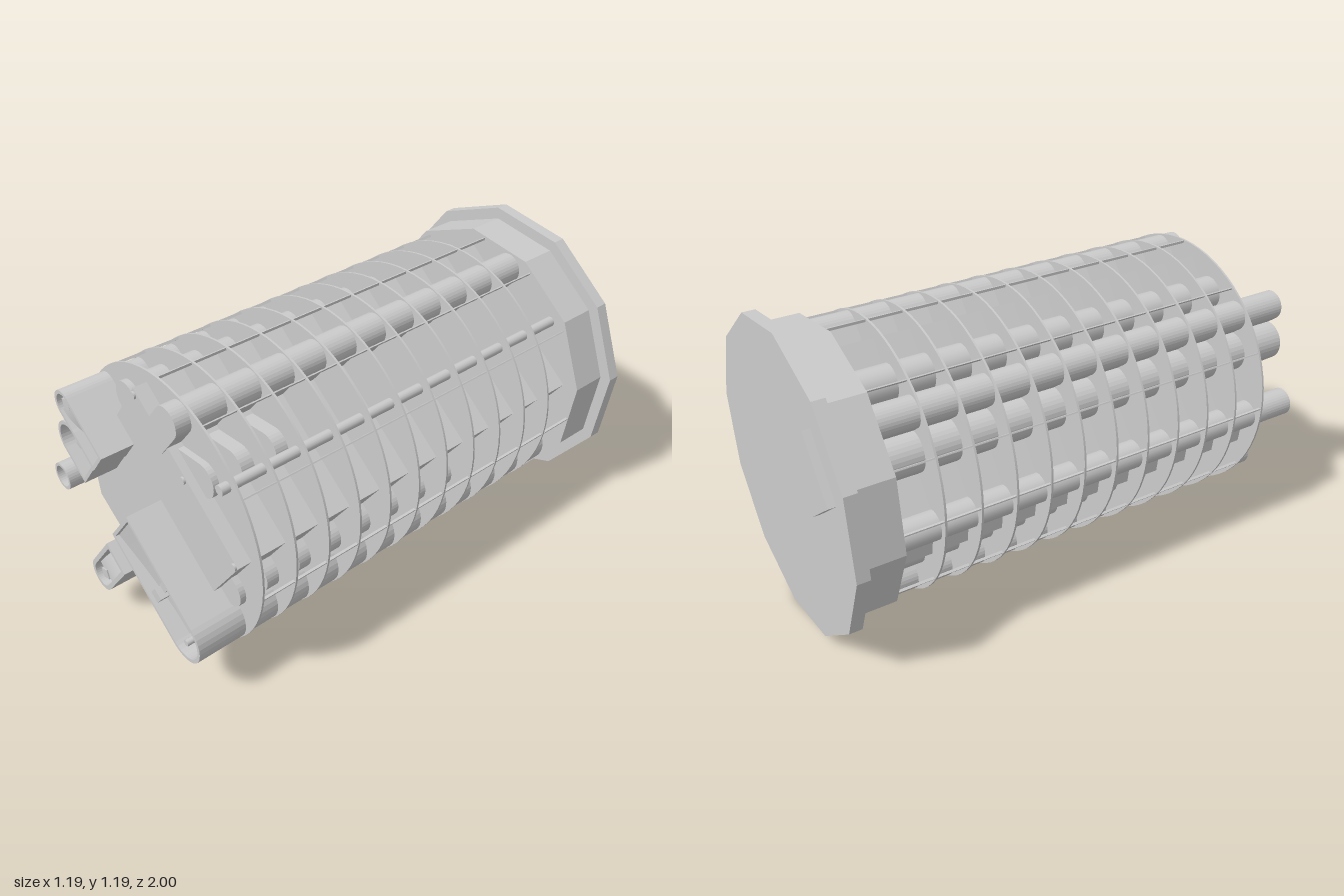
import * as THREE from 'three';

const CY = 0.595; // height of the long axis
const BACK = -0.78;

export function createModel() {
  const model = new THREE.Group();
  const mat = new THREE.MeshStandardMaterial({ color: 0xcccccc });
  const flat = new THREE.MeshStandardMaterial({ color: 0xcccccc, flatShading: true });
  const thin = new THREE.MeshStandardMaterial({ color: 0xcccccc, side: THREE.DoubleSide });

  const add = (name, geo, x = 0, y = 0, z = 0, m = mat) => {
    const mesh = new THREE.Mesh(geo, m);
    mesh.name = name;
    mesh.position.set(x, y, z);
    model.add(mesh);
    return mesh;
  };
  // Round bar along z between two depths
  const bar = (name, x, y, r, z0, z1, seg = 24, m = mat) =>
    add(name, new THREE.CylinderGeometry(r, r, z1 - z0, seg).rotateX(Math.PI / 2), x, y, (z0 + z1) / 2, m);
  // Straight extrusion of an outline along z
  const prism = (name, shape, z0, z1) =>
    add(name, new THREE.ExtrudeGeometry(shape, { depth: z1 - z0, bevelEnabled: false, curveSegments: 16 }), 0, 0, z0);
  const poly = (pts) => new THREE.Shape(pts.map(([x, y]) => new THREE.Vector2(x, y)));
  // Outline with a flat start at p and a round end about q, half width w
  const roundEnd = (p, q, w, inset = 0) => {
    const a = Math.atan2(q[1] - p[1], q[0] - p[0]);
    const c = Math.cos(a), s = Math.sin(a), h = w - inset;
    const pts = [[p[0] + c * inset - s * h, p[1] + s * inset + c * h],
      [p[0] + c * inset + s * h, p[1] + s * inset - c * h]];
    for (let i = 0; i <= 16; i++) {
      const t = a - Math.PI / 2 + (i / 16) * Math.PI;
      pts.push([q[0] + h * Math.cos(t), q[1] + h * Math.sin(t)]);
    }
    return poly(pts);
  };
  // Hollow housing: solid to its floor, then an open rim
  const housing = (name, p, q, w, floor, front, wall) => {
    prism(name + 'Body', roundEnd(p, q, w), BACK, floor);
    const rim = roundEnd(p, q, w);
    rim.holes.push(roundEnd(p, q, w, wall));
    prism(name + 'Rim', rim, floor, front);
  };
  // Curved ramp inside a housing, falling from z0 at p to z1 at q
  const ramp = (name, p, q, w, z0, z1) => {
    const geo = new THREE.PlaneGeometry(1, 2, 12, 1);
    const pos = geo.attributes.position;
    const len = Math.hypot(q[0] - p[0], q[1] - p[1]);
    const dx = (q[0] - p[0]) / len, dy = (q[1] - p[1]) / len;
    for (let i = 0; i < pos.count; i++) {
      const u = pos.getX(i) + 0.5, v = pos.getY(i) * w;
      pos.setXYZ(i, p[0] + dx * len * u - dy * v, p[1] + dy * len * u + dx * v,
        z0 + (z1 - z0) * Math.sin(u * Math.PI / 2));
    }
    geo.computeVertexNormals();
    add(name, geo, 0, 0, 0, thin);
  };

  // Twelve-sided back flange and collar
  const dodecagon = (r) => poly(Array.from({ length: 12 }, (_, i) => {
    const a = ((6.5 + i * 30) * Math.PI) / 180;
    return [r * Math.cos(a), CY + r * Math.sin(a)];
  }));
  prism('backFlange', dodecagon(0.6), -0.97, -0.92);
  prism('collar', dodecagon(0.553), -0.92, -0.77);
  add('backBlock', new THREE.BoxGeometry(0.26, 0.2, 0.04), -0.33, 0.805, -0.98)
    .rotation.z = Math.atan2(0.78, 0.62);

  // Ring plates
  const plateZ = Array.from({ length: 11 }, (_, i) => 0.802 - i * 0.1415);
  plateZ.forEach((z) => bar('ringPlate', 0, CY, 0.535, z - 0.004, z + 0.004, 72));

  // Thin stringers linking the plate rims
  for (const deg of [-10, 33, 62, 90, 125, 155, 180, 215, -115, -100, -90, -78, -66, -45]) {
    const a = (deg * Math.PI) / 180;
    add('stringer', new THREE.BoxGeometry(0.01, 0.005, 1.58), 0.527 * Math.cos(a),
      CY + 0.527 * Math.sin(a), 0.012).rotation.z = a;
  }

  // Angular core running through the plates
  prism('core', poly([[-0.06, 1.08], [-0.45, 0.57], [-0.43, 0.4], [-0.2, 0.24], [-0.1, 0.13],
    [0.07, 0.13], [0.19, 0.26], [0.48, 0.65]]), BACK, 0.86);

  // Full-length tubes along the core edges
  prism('upperTube', roundEnd([0.04, 0.93], [0.135, 1.045], 0.06), BACK, 0.865);
  for (const [x, y, r] of [[-0.175, 0.965, 0.065], [-0.3, 0.36, 0.07],
    [0.06, 0.195, 0.07], [-0.05, 0.185, 0.07]]) {
    bar('sideTube', x, y, r, BACK, 0.83);
  }

  // Short lugs seated on the front of the plates
  plateZ.slice(1, 8).forEach((z, i) => {
    prism('sideLug', roundEnd([0.3, 0.52], [0.37, 0.46], 0.065), z, z + 0.055);
    if (i < 2) prism('upperLug', roundEnd([0.14, 0.86], [0.265, 0.87], 0.065), z, z + 0.055);
  });
  prism('sideLug', roundEnd([0.3, 0.52], [0.37, 0.46], 0.065), 0.79, 0.83);
  prism('upperLug', roundEnd([0.14, 0.86], [0.265, 0.87], 0.065), 0.79, 0.83);

  // Tie rod and screw heads
  bar('tieRod', 0.375, 0.9, 0.02, BACK, 0.84, 16);
  for (const [x, y] of [[0.2, 0.848], [0.46, 0.648], [-0.058, 1.053]]) {
    bar('screwHead', x, y, 0.014, 0.85, 0.868, 16);
  }

  // Hollow side pipe, open at the front
  bar('pipeCore', -0.455, 0.54, 0.055, BACK, 0.86);
  const pipe = new THREE.Shape().absarc(-0.455, 0.54, 0.055, 0, Math.PI * 2);
  pipe.holes.push(new THREE.Path().absarc(-0.455, 0.54, 0.043, 0, Math.PI * 2, true));
  prism('pipeMouth', pipe, 0.86, 0.99);

  // Large lower housing with a shallow sloping floor
  housing('largeHousing', [-0.03, 0.58], [0.317, 0.307], 0.103, 0.93, 1.0, 0.014);
  ramp('largeRamp', [-0.018, 0.571], [0.317, 0.307], 0.088, 0.985, 0.94);
  for (const [x, y, s] of [[0.15, 0.37, 0.045], [0.21, 0.455, 0.035]]) {
    add('largeHousingStop', new THREE.BoxGeometry(s, s, 0.06), x, y, 0.96).rotation.z = 0.9;
  }
  bar('housingPin', 0.31, 0.258, 0.013, 0.92, 0.985, 12);

  // Small lower housing
  housing('smallHousing', [-0.1, 0.375], [-0.24, 0.197], 0.066, 0.9, 1.0, 0.018);
  ramp('smallRamp', [-0.112, 0.361], [-0.24, 0.197], 0.047, 0.9, 0.98);
  add('smallHousingStop', new THREE.BoxGeometry(0.04, 0.04, 0.08), -0.243, 0.19, 0.945, flat).rotation.z = 0.3;

  // Double upper housing: two round-ended wells side by side
  housing('upperWell', [-0.143, 0.775], [-0.335, 0.925], 0.058, 0.88, 0.99, 0.014);
  housing('innerWell', [-0.22, 0.683], [-0.335, 0.773], 0.077, 0.87, 0.99, 0.014);
  ramp('upperRamp', [-0.153, 0.784], [-0.335, 0.925], 0.044, 0.89, 0.98);
  ramp('innerRamp', [-0.23, 0.692], [-0.335, 0.773], 0.062, 0.875, 0.95);
  add('wellStop', new THREE.BoxGeometry(0.04, 0.04, 0.09), -0.335, 0.925, 0.935, flat).rotation.z = 0.3;
  add('wellBlock', new THREE.BoxGeometry(0.08, 0.08, 0.07), -0.29, 0.765, 0.925, flat).rotation.z = 0.9;

  return model;
}
